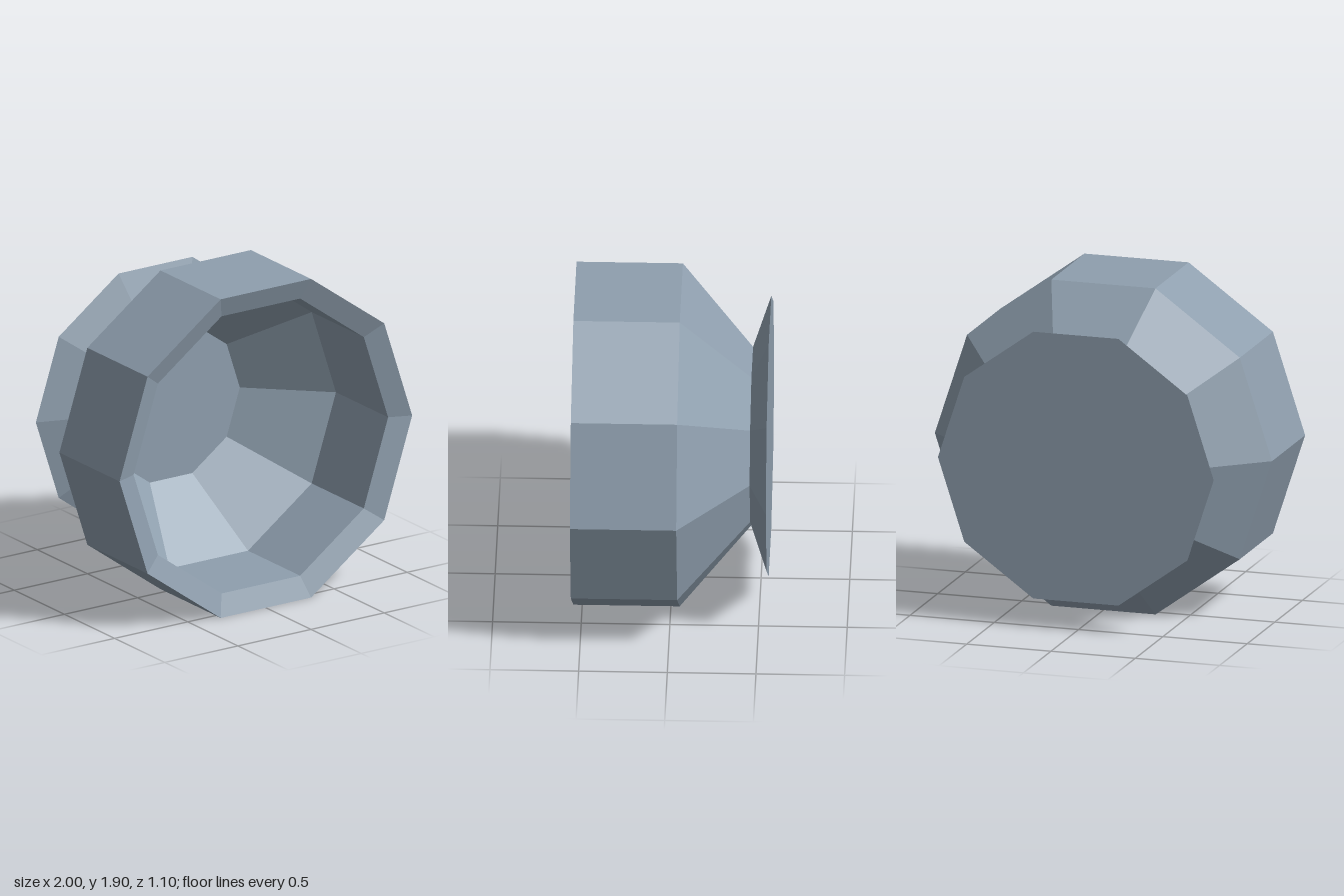
import * as THREE from 'three';

const SIDES = 10;
const CENTRE_Y = 0.951;

// Faceted ring surface around the z axis; profile points are [radius, z].
function facetedLathe(name, profile, material) {
  const points = profile.map(([r, z]) => new THREE.Vector2(r, z));
  const geometry = new THREE.LatheGeometry(points, SIDES, Math.PI / 2)
    .rotateX(Math.PI / 2)
    .toNonIndexed();
  geometry.computeVertexNormals();
  const mesh = new THREE.Mesh(geometry, material);
  mesh.name = name;
  mesh.position.y = CENTRE_Y;
  return mesh;
}

export function createModel() {
  const group = new THREE.Group();
  group.name = 'cup';
  const material = new THREE.MeshStandardMaterial({ color: 0x8f9fae, flatShading: true });

  // Flat foot flaring out from the neck
  group.add(facetedLathe('foot', [[0, -0.55], [0.818, -0.55], [0.52, -0.45]], material));

  // Sloping shoulder and straight outer wall
  group.add(facetedLathe('outerWall', [[0.52, -0.45], [1, -0.05], [1, 0.55]], material));

  // Rim bevelled towards the opening
  group.add(facetedLathe('rim', [[1, 0.55], [0.87, 0.5]], material));

  // Hollow inside with a flat floor
  group.add(facetedLathe('innerWall', [[0.87, 0.5], [0.87, -0.02], [0.47, -0.395], [0, -0.395]], material));

  return group;
}
